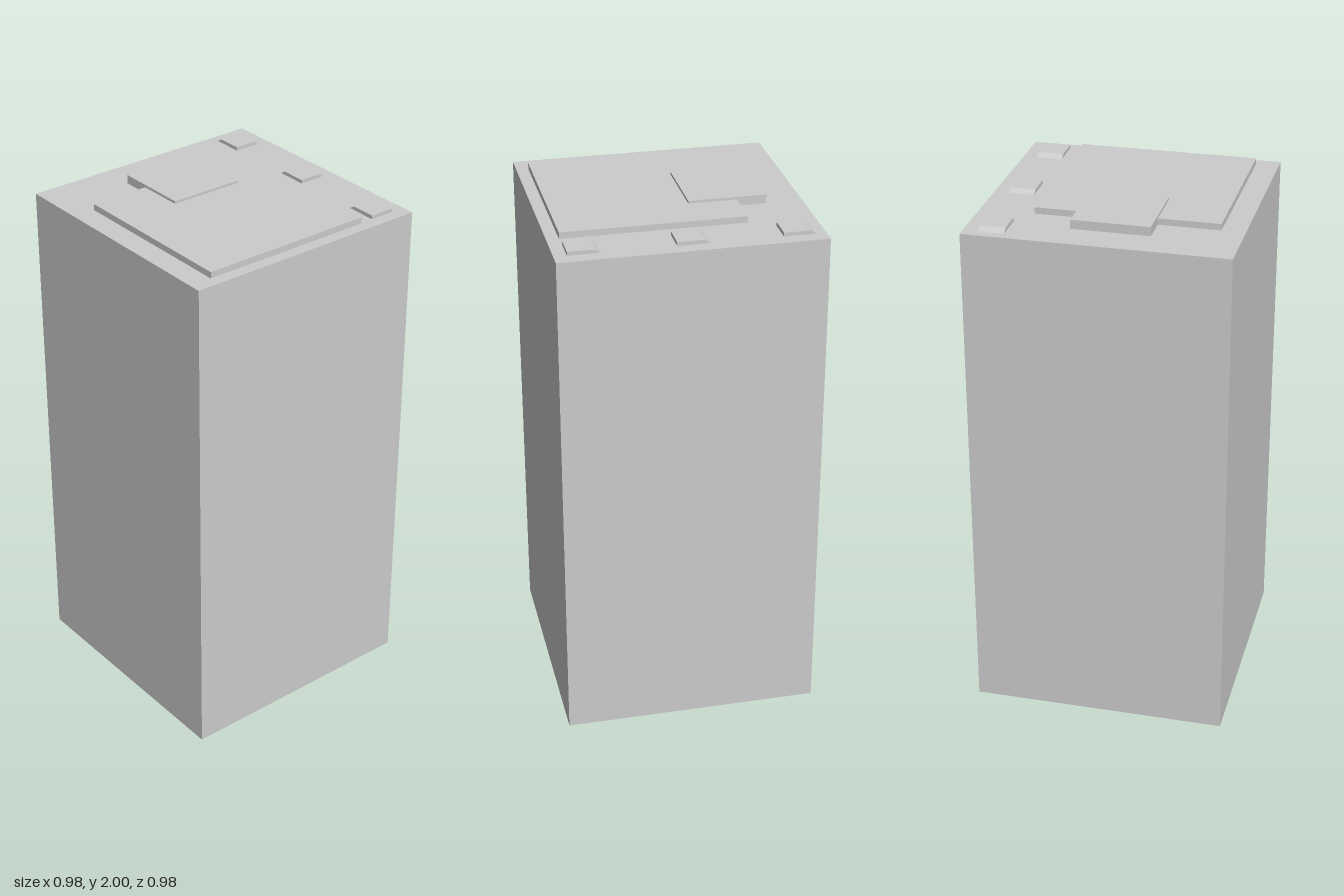
import * as THREE from 'three';

const ROOF = 1.966;

export function createModel() {
  const model = new THREE.Group();
  model.name = 'towerBlock';
  const material = new THREE.MeshStandardMaterial({ color: 0xcccccc, flatShading: true });

  // Box given by its lower and upper bounds on each axis
  function addBox(name, [x0, x1], [y0, y1], [z0, z1]) {
    const mesh = new THREE.Mesh(new THREE.BoxGeometry(x1 - x0, y1 - y0, z1 - z0), material);
    mesh.position.set((x0 + x1) / 2, (y0 + y1) / 2, (z0 + z1) / 2);
    mesh.name = name;
    model.add(mesh);
  }

  addBox('towerBody', [-0.489, 0.489], [0, ROOF], [-0.489, 0.489]);
  addBox('roofSlab', [-0.401, 0.285], [ROOF, 1.99], [-0.242, 0.443]);
  addBox('roofPlantRoom', [-0.17, 0.123], [ROOF, 2], [-0.352, -0.06]);

  // Small roof vents with a sloping back, extruded across their width
  const length = 0.119, height = 0.014, slope = 0.021;
  const profile = new THREE.Shape([
    new THREE.Vector2(0, 0),
    new THREE.Vector2(length, 0),
    new THREE.Vector2(length - slope, height),
    new THREE.Vector2(0, height),
  ]);
  const ventGeometry = new THREE.ExtrudeGeometry(profile, { depth: 0.098, bevelEnabled: false });
  ventGeometry.rotateY(Math.PI / 2);

  [-0.333, 0.052, 0.441].forEach((frontZ, i) => {
    const vent = new THREE.Mesh(ventGeometry, material);
    vent.position.set(0.337, ROOF, frontZ);
    vent.name = `roofVent${i + 1}`;
    model.add(vent);
  });

  return model;
}
